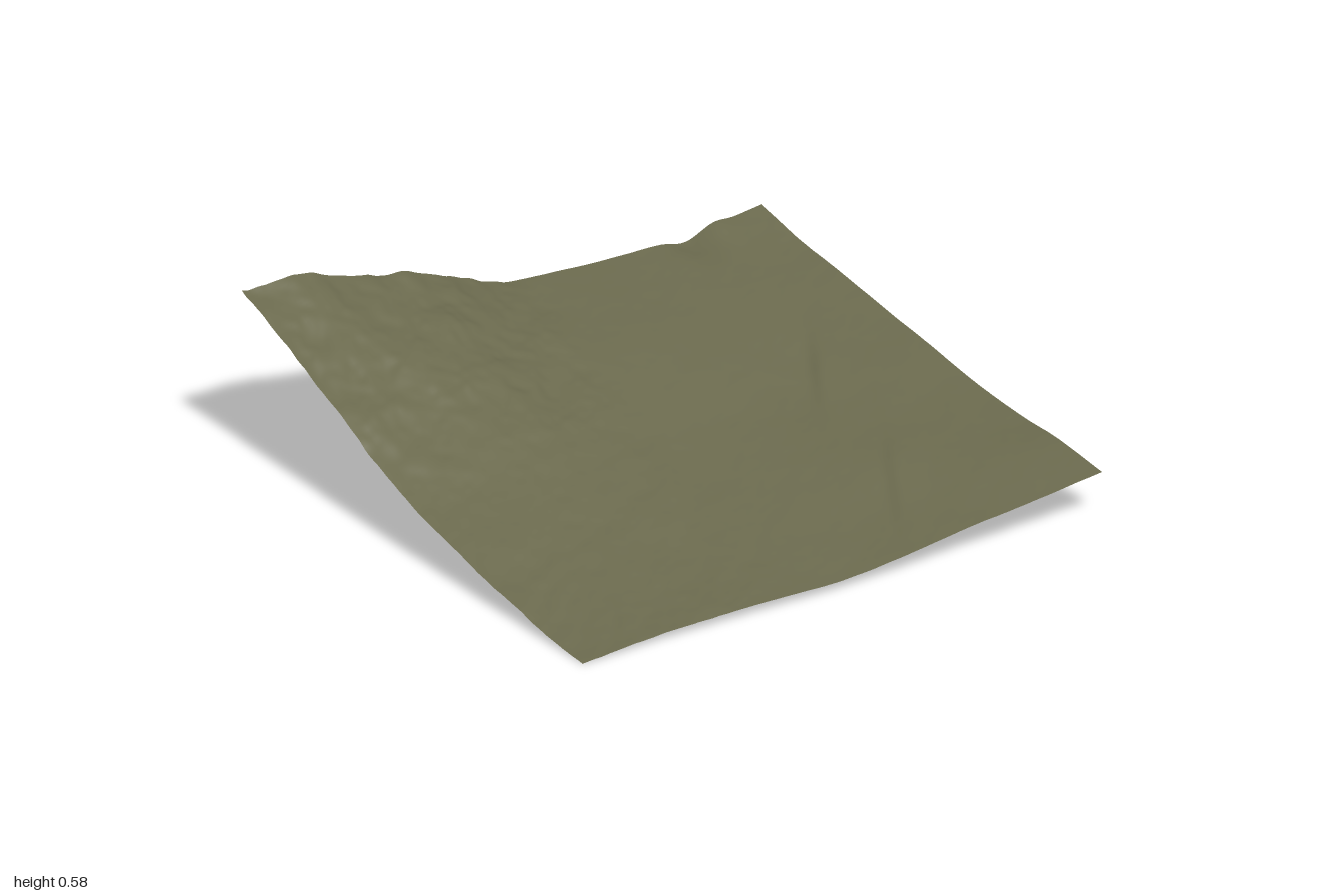
import * as THREE from 'three';

// Broad heights on a 9 x 9 grid: rows run back to front, columns run from -x to +x
const HEIGHTS = [
  [.59, .57, .505, .44, .355, .335, .328, .335, .37],
  [.49, .475, .44, .385, .32, .305, .297, .305, .325],
  [.385, .385, .37, .315, .28, .27, .262, .272, .297],
  [.28, .285, .28, .25, .228, .222, .22, .24, .265],
  [.19, .2, .205, .19, .172, .17, .18, .215, .235],
  [.13, .14, .145, .14, .13, .14, .16, .185, .203],
  [.075, .088, .098, .098, .098, .112, .145, .165, .185],
  [.033, .05, .06, .063, .065, .08, .115, .15, .18],
  [.003, .022, .033, .035, .035, .06, .097, .125, .157],
];
const HALF_DEPTH = 0.96;

// Catmull-Rom through evenly spaced values, extended in a straight line at the ends
function spline(values, t) {
  const last = values.length - 1;
  const i = Math.min(Math.floor(t), last - 1), f = t - i;
  const b = values[i], c = values[i + 1];
  const a = i > 0 ? values[i - 1] : 2 * b - c;
  const d = i + 2 <= last ? values[i + 2] : 2 * c - b;
  return b + 0.5 * f * (c - a + f * (2 * a - 5 * b + 4 * c - d + f * (3 * (b - c) + d - a)));
}

// Seeded lattice noise, -1 to 1
function lattice(i, j) {
  let n = Math.imul(i, 374761393) + Math.imul(j, 668265263) + 1274126177;
  n = Math.imul(n ^ (n >>> 13), 1274126177);
  return ((n ^ (n >>> 16)) >>> 0) / 2147483648 - 1;
}
function noise(x, y) {
  const i = Math.floor(x), j = Math.floor(y);
  const u = THREE.MathUtils.smoothstep(x - i, 0, 1), v = THREE.MathUtils.smoothstep(y - j, 0, 1);
  const { lerp } = THREE.MathUtils;
  return lerp(lerp(lattice(i, j), lattice(i + 1, j), u), lerp(lattice(i, j + 1), lattice(i + 1, j + 1), u), v);
}

// Rounded lump or hollow
const bump = (x, z, cx, cz, rx, rz, h) => h * Math.exp(-(((x - cx) / rx) ** 2) - ((z - cz) / rz) ** 2);

// Small step in the ground along a slanted line, fading at both ends
function bank(x, z, cx, cz, length, h) {
  const along = (x - cx) * -0.5 + (z - cz) * 0.87;
  const across = (x - cx) * 0.87 + (z - cz) * 0.5;
  return h * Math.tanh(across / 0.02) * Math.exp(-((across / 0.09) ** 2) - (along / length) ** 2);
}

function heightAt(x, z) {
  const row = (z + HALF_DEPTH) / (2 * HALF_DEPTH) * 8;
  let y = spline(HEIGHTS.map(r => spline(r, (x + 1) * 4)), row);

  // Rocky on the hill, nearly smooth on the valley floor
  const { smoothstep } = THREE.MathUtils;
  const hill = 1 - smoothstep(x + 0.15 * z, -0.3, 0.05);
  const rough = 0.12 + hill * (0.22 + 0.66 * (1 - smoothstep(z, -0.5, 0.2)));
  const u = x * 0.85 + z * 0.5, v = z * 0.85 - x * 0.5;
  y += rough * (0.009 * noise(u * 9, v * 6) + 0.006 * noise(u * 19 + 7, v * 13) + 0.003 * noise(u * 36, v * 28 + 5));

  // Ledge and scarp on the hill, and the notch in the back edge
  y += bump(x, z, -0.39, -0.94, 0.06, 0.12, 0.016);
  y += bump(x, z, -0.36, -0.7, 0.1, 0.07, 0.014) - bump(x, z, -0.25, -0.6, 0.1, 0.07, 0.012);
  y += bump(x, z, 0.82, -0.96, 0.05, 0.1, 0.012) - bump(x, z, 0.7, -0.96, 0.06, 0.12, 0.02);

  // Stream banks
  y += bank(x, z, 0.62, -0.1, 0.2, 0.007);
  y += bank(x, z, 0.45, 0.58, 0.25, 0.006);
  y += bank(x, z, -0.15, 0.25, 0.25, -0.004);
  return Math.max(0, y);
}

export function createModel() {
  const grass = new THREE.MeshStandardMaterial({ color: 0x6b6a4e, side: THREE.DoubleSide });
  grass.name = 'olive ground';

  // Flat sheet lifted by the height rule
  const geometry = new THREE.PlaneGeometry(2, 2 * HALF_DEPTH, 160, 154).rotateX(-Math.PI / 2);
  const p = geometry.attributes.position;
  for (let i = 0; i < p.count; i++) p.setY(i, heightAt(p.getX(i), p.getZ(i)));
  geometry.computeVertexNormals();

  const terrain = new THREE.Mesh(geometry, grass);
  terrain.name = 'terrain';
  const group = new THREE.Group();
  group.name = 'hillside';
  group.add(terrain);
  return group;
}
